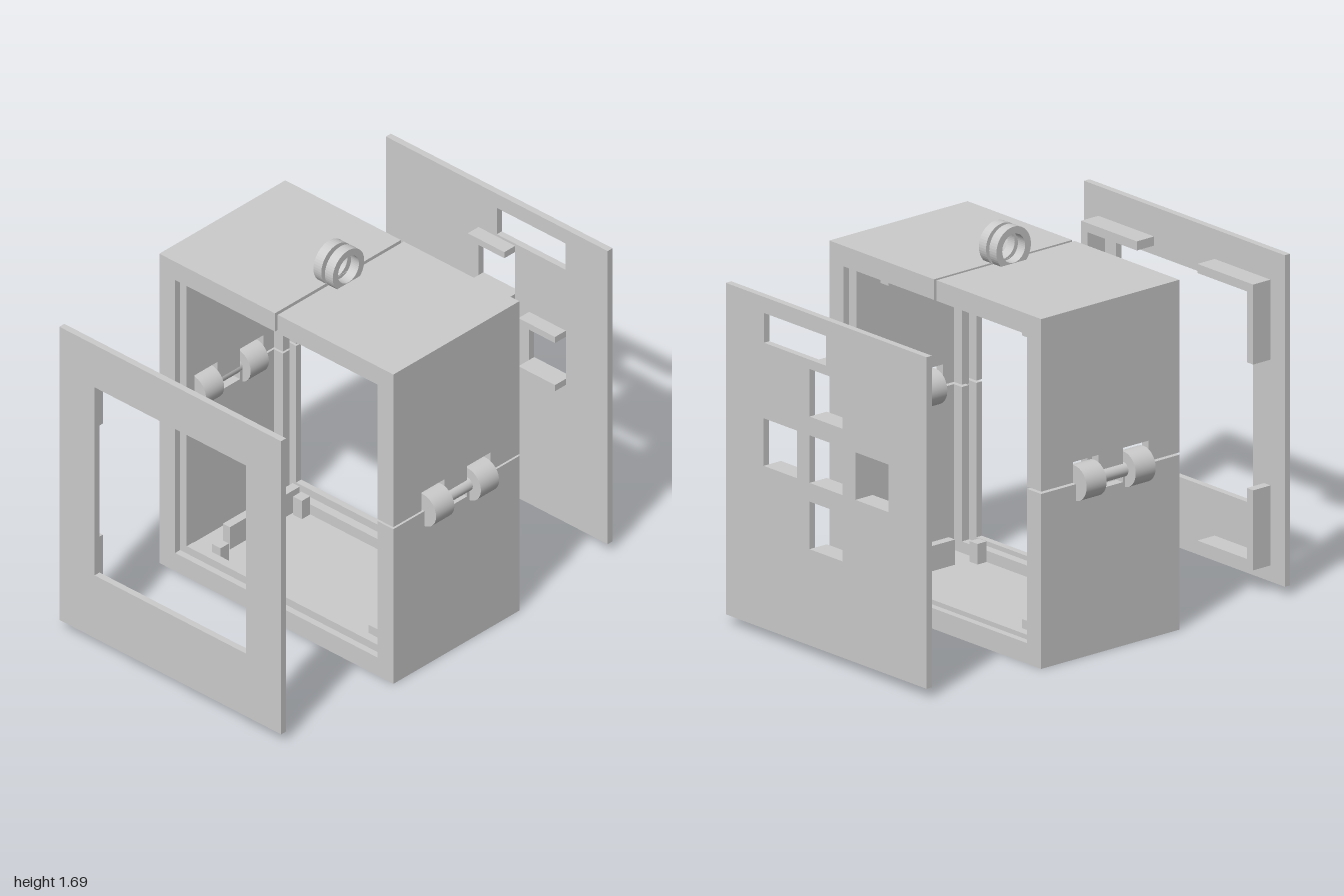
import * as THREE from 'three';

const mat = new THREE.MeshStandardMaterial({ color: 0xcccccc });
const W = 0.665, H = 1.53;

function add(parent, name, geo, x = 0, y = 0, z = 0) {
  const m = new THREE.Mesh(geo, mat);
  m.name = name;
  m.position.set(x, y, z);
  parent.add(m);
  return m;
}

// Box given by its limits
function box(parent, name, x0, x1, y0, y1, z0, z1) {
  return add(parent, name, new THREE.BoxGeometry(x1 - x0, y1 - y0, z1 - z0),
    (x0 + x1) / 2, (y0 + y1) / 2, (z0 + z1) / 2);
}

function poly(points, Kind = THREE.Shape) {
  return new Kind(points.map(p => new THREE.Vector2(...p)));
}

function rect(x0, x1, y0, y1, Kind) {
  return poly([[x0, y0], [x1, y0], [x1, y1], [x0, y1]], Kind);
}

function extrude(parent, name, shape, z0, z1) {
  return add(parent, name, new THREE.ExtrudeGeometry(shape, { depth: z1 - z0, bevelEnabled: false, curveSegments: 24 }), 0, 0, z0);
}

// Flat panel with rectangular holes [x0, x1, y0, y1]
function panel(parent, name, z0, z1, holes) {
  const s = rect(-0.63, 0.63, 0.04, 1.49);
  for (const h of holes) s.holes.push(rect(...h, THREE.Path));
  extrude(parent, name, s, z0, z1);
}

export function createModel() {
  const model = new THREE.Group();
  model.name = 'hingedCase';

  // Case slices along z: start, end, wall, top of lower shell, bottom of upper shells
  const LIP = 0.09, THIN = 0.04, LOW = 0.765, UP = 0.775, NOTCH = 0.865;
  const slices = [
    [-0.40, -0.37, LIP, LOW, UP],
    [-0.37, -0.33, THIN, LOW, UP],
    [-0.33, -0.29, LIP, LOW, UP],
    [-0.29, -0.225, THIN, LOW, UP],
    [-0.225, -0.085, THIN, LOW, NOTCH],
    [-0.085, 0.05, THIN, 0.715, UP],
    [0.05, 0.19, THIN, LOW, NOTCH],
    [0.19, 0.25, THIN, LOW, UP],
    [0.25, 0.29, LIP, LOW, UP],
    [0.29, 0.33, THIN, LOW, UP],
    [0.33, 0.36, LIP, LOW, UP],
  ];
  const lower = new THREE.Group();
  lower.name = 'lowerShell';
  model.add(lower);
  for (const [z0, z1, t, low] of slices) {
    const i = W - t;
    extrude(lower, 'lowerShellSlice', poly([[-W, 0], [W, 0], [W, low], [i, low], [i, t], [-i, t], [-i, low], [-W, low]]), z0, z1);
  }

  for (const s of [-1, 1]) {
    const side = s < 0 ? 'right' : 'left';
    const span = (a, b) => [Math.min(s * a, s * b), Math.max(s * a, s * b)];

    // L-shaped upper shell
    const upper = new THREE.Group();
    upper.name = side + 'UpperShell';
    model.add(upper);
    for (const [z0, z1, t, , up] of slices) {
      const pts = [[0.008, H - t], [W - t, H - t], [W - t, up], [W, up], [W, H], [0.008, H]];
      extrude(upper, 'upperShellSlice', poly(pts.map(([x, y]) => [s * x, y])), z0, z1);
    }

    // Closing ring on the top
    const ring = new THREE.Shape();
    ring.absarc(0, 0, 0.095, 0, Math.PI * 2);
    const hole = new THREE.Path();
    hole.absarc(0, 0, 0.063, 0, Math.PI * 2);
    ring.holes.push(hole);
    const r = extrude(upper, 'closingRing', ring, 0, 0.045);
    r.rotation.y = Math.PI / 2;
    r.position.set(s < 0 ? -0.055 : 0.01, 1.595, -0.017);

    // Hinge knuckles and pin
    const hinge = new THREE.Group();
    hinge.name = side + 'Hinge';
    model.add(hinge);
    for (const [name, radius, len, z] of [
      ['hingeKnuckle', 0.077, 0.11, 0.117],
      ['hingeKnuckle', 0.077, 0.11, -0.153],
      ['hingePin', 0.031, 0.18, -0.018],
    ]) add(hinge, name, new THREE.CylinderGeometry(radius, radius, len, 40), s * 0.654, 0.767, z).rotation.x = Math.PI / 2;

    // Inner corner stops and floor rail
    for (const [z0, z1] of [[0.2, 0.25], [-0.29, -0.24]]) {
      box(lower, 'lowerStop', ...span(0.42, 0.47), 0.04, 0.13, z0, z1);
      box(upper, 'upperStop', ...span(0.42, 0.47), 1.37, 1.49, z0, z1);
    }
    box(lower, 'floorRail', ...span(0.48, 0.52), 0.04, 0.15, -0.29, 0.13);

    // L-shaped corner guides behind the front panel
    for (const top of [false, true]) {
      const y = v => top ? 1.47 - v : v;
      const pts = [[0.19, 0.11], [0.54, 0.11], [0.54, 0.46], [0.5, 0.46], [0.5, 0.15], [0.19, 0.15]];
      extrude(model, 'cornerGuide', poly(pts.map(([a, b]) => [s * a, y(b)])), 0.875, 0.97);
    }
  }

  // Front panel with a large window
  panel(model, 'frontPanel', 0.97, 1, [[-0.43, 0.43, 0.35, 1.28]]);

  // Back panel: cross of square openings plus an upper slot
  const squares = [[0, 1.145], [0, 0.855], [0, 0.565], [-0.288, 0.855], [0.288, 0.855]];
  const h = 0.104;
  panel(model, 'backPanel', -1, -0.97, [
    ...squares.map(([x, y]) => [x - h, x + h, y - h, y + h]),
    [0, 0.39, 1.29, 1.42],
  ]);
  for (const [x, y] of squares) {
    box(model, 'openingShelf', x - h, x + h, y - h - 0.03, y - h, -0.97, -0.905);
    box(model, 'openingShelf', x - h, x + h, y + h, y + h + 0.03, -0.97, -0.905);
  }
  return model;
}
